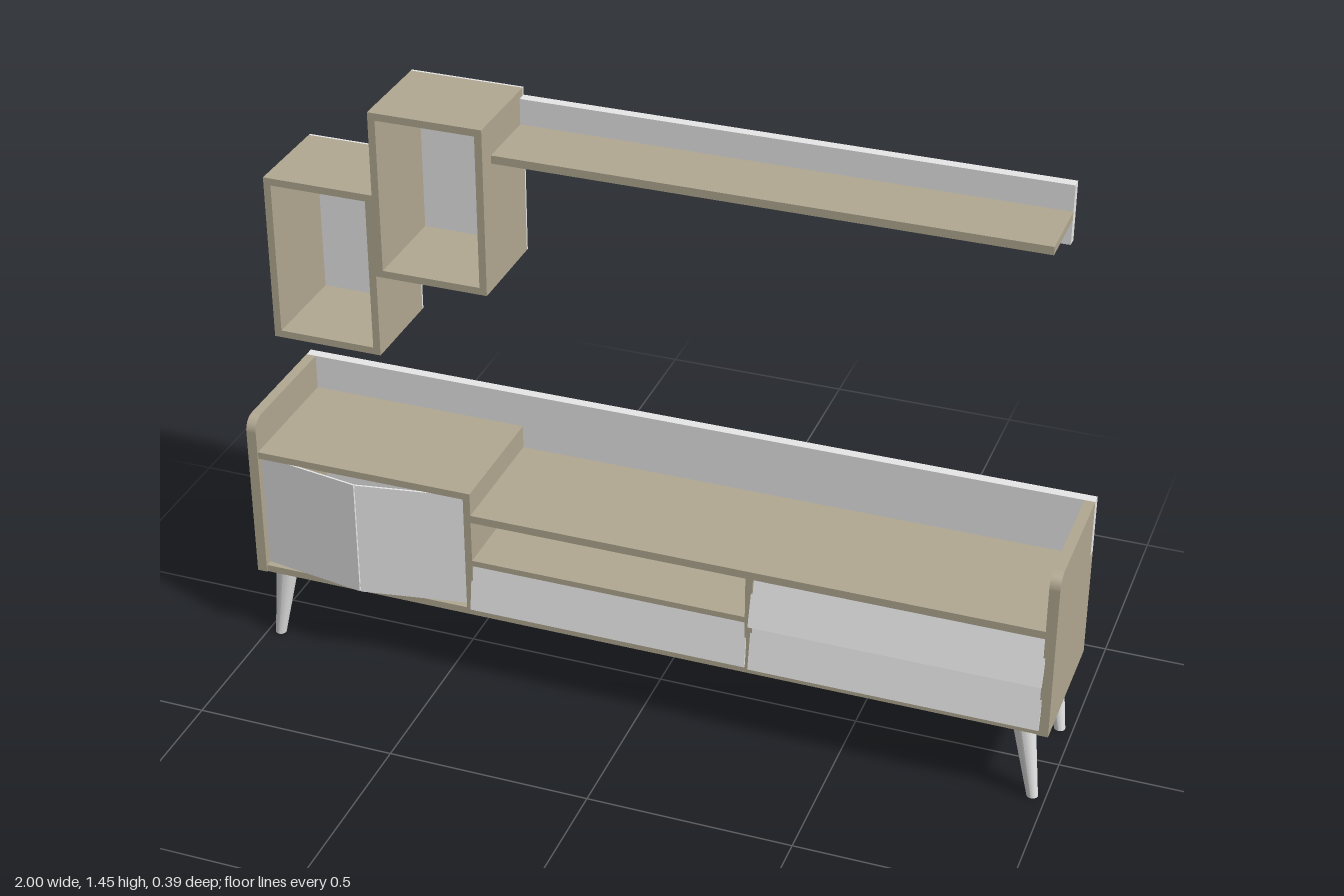
import * as THREE from 'three';

const wood = new THREE.MeshStandardMaterial({ color: 0xb2a892 });
wood.name = 'taupe wood';
const white = new THREE.MeshStandardMaterial({ color: 0xf2f2f2 });
white.name = 'white lacquer';

const BACK = -0.192, FRONT = 0.168;

// Box given by its limits on each axis
function slab(parent, name, mat, x0, x1, y0, y1, z0, z1) {
  const mesh = new THREE.Mesh(new THREE.BoxGeometry(x1 - x0, y1 - y0, z1 - z0), mat);
  mesh.position.set((x0 + x1) / 2, (y0 + y1) / 2, (z0 + z1) / 2);
  mesh.name = name;
  parent.add(mesh);
  return mesh;
}

// End panel with a rounded front corner and a notch for the rear upstand
function endPanel(parent, name, x0, notchY) {
  const r = 0.035, top = 0.635;
  const s = new THREE.Shape();
  s.moveTo(-FRONT, 0.2);
  s.lineTo(-BACK, 0.2);
  s.lineTo(-BACK, notchY);
  s.lineTo(0.167, notchY);
  s.lineTo(0.167, top);
  s.lineTo(-FRONT + r, top);
  s.absarc(-FRONT + r, top - r, r, Math.PI / 2, Math.PI, false);
  const geo = new THREE.ExtrudeGeometry(s, { depth: 0.025, bevelEnabled: false, curveSegments: 8 });
  geo.rotateY(Math.PI / 2);
  const mesh = new THREE.Mesh(geo, wood);
  mesh.position.x = x0;
  mesh.name = name;
  parent.add(mesh);
}

// Drawer front leaning back: the lower edge stands further out than the upper
function drawer(parent, name, x0, x1, y0, y1, zLow, zHigh) {
  const h = Math.hypot(y1 - y0, zLow - zHigh), t = 0.006;
  const mesh = new THREE.Mesh(new THREE.BoxGeometry(x1 - x0, h, t), white);
  mesh.position.set((x0 + x1) / 2, (y0 + y1) / 2, (zLow + zHigh) / 2 - t / 2);
  mesh.rotation.x = -Math.atan2(zLow - zHigh, y1 - y0);
  mesh.name = name;
  parent.add(mesh);
}

// Door slightly ajar, hinged at its outer edge
function door(parent, name, hingeX, freeX) {
  const zHinge = 0.147, zFree = 0.192, dx = freeX - hingeX, dz = zFree - zHinge;
  const mesh = new THREE.Mesh(new THREE.BoxGeometry(Math.hypot(dx, dz), 0.305, 0.005), white);
  mesh.position.set((hingeX + freeX) / 2, 0.373, (zHinge + zFree) / 2);
  mesh.rotation.y = -Math.atan(dz / dx);
  mesh.name = name;
  parent.add(mesh);
}

// Open wall box with a thin white back
function wallBox(name, x0, x1, y0, y1) {
  const g = new THREE.Group(), t = 0.018, z0 = -0.186, z1 = 0.057;
  g.name = name;
  slab(g, 'boxBottom', wood, x0, x1, y0, y0 + t, z0, z1);
  slab(g, 'boxTop', wood, x0, x1, y1 - t, y1, z0, z1);
  slab(g, 'boxSideRight', wood, x0, x0 + t, y0 + t, y1 - t, z0, z1);
  slab(g, 'boxSideLeft', wood, x1 - t, x1, y0 + t, y1 - t, z0, z1);
  slab(g, 'boxBack', white, x0, x1, y0, y1, BACK, z0);
  return g;
}

export function createModel() {
  const model = new THREE.Group();
  model.name = 'mediaWallUnit';

  // Cabinet carcass
  const cabinet = new THREE.Group();
  cabinet.name = 'lowCabinet';
  endPanel(cabinet, 'endPanelRight', -1, 0.545);
  endPanel(cabinet, 'endPanelLeft', 0.975, 0.485);
  slab(cabinet, 'cabinetBottom', wood, -0.975, 0.975, 0.2, 0.218, BACK, 0.165);
  slab(cabinet, 'raisedTop', wood, -0.975, -0.42, 0.527, 0.545, BACK, 0.165);
  slab(cabinet, 'lowerTop', wood, -0.42, 0.975, 0.465, 0.485, BACK, 0.165);
  slab(cabinet, 'doorDivider', wood, -0.438, -0.42, 0.218, 0.527, BACK, 0.165);
  slab(cabinet, 'drawerDivider', wood, 0.268, 0.286, 0.218, 0.465, BACK, 0.165);
  slab(cabinet, 'middleShelf', wood, -0.42, 0.268, 0.342, 0.357, BACK, 0.165);

  // Rear upstand, stepped above the raised top
  slab(cabinet, 'rearUpstand', white, -0.42, 1, 0.485, 0.635, BACK, -0.167);
  slab(cabinet, 'rearUpstandStep', white, -1, -0.42, 0.545, 0.635, BACK, -0.167);

  // Back infill panels
  [[-0.975, -0.438, 0.218, 0.527], [-0.42, 0.268, 0.218, 0.342],
    [-0.42, 0.268, 0.357, 0.465], [0.286, 0.975, 0.218, 0.465]]
    .forEach(([x0, x1, y0, y1]) => slab(cabinet, 'backInfill', white, x0, x1, y0, y1, -0.19, -0.182));

  // Doors and drawers
  door(cabinet, 'doorRight', -0.977, -0.709);
  door(cabinet, 'doorLeft', -0.438, -0.706);
  drawer(cabinet, 'middleDrawer', -0.424, 0.272, 0.222, 0.345, 0.177, 0.158);
  drawer(cabinet, 'lowerDrawer', 0.282, 0.979, 0.222, 0.344, 0.182, 0.16);
  drawer(cabinet, 'upperDrawer', 0.282, 0.979, 0.345, 0.463, 0.187, 0.155);
  model.add(cabinet);

  // Splayed tapered legs
  for (const side of [-1, 1]) {
    for (const z of [0.133, -0.142]) {
      const geo = new THREE.CylinderGeometry(0.027, 0.0135, 0.2, 24);
      const pos = geo.attributes.position;
      for (let i = 0; i < pos.count; i++) {
        pos.setX(i, pos.getX(i) - side * 0.16 * pos.getY(i)); // shear outward toward the floor
      }
      geo.computeVertexNormals();
      const leg = new THREE.Mesh(geo, white);
      leg.position.set(side * 0.952, 0.1, z);
      leg.name = z > 0 ? 'frontLeg' : 'backLeg';
      model.add(leg);
    }
  }

  // Wall boxes and long shelf
  model.add(wallBox('lowerWallBox', -0.962, -0.685, 0.813, 1.235));
  model.add(wallBox('upperWallBox', -0.685, -0.405, 1.025, 1.445));
  const shelf = new THREE.Group();
  shelf.name = 'wallShelf';
  slab(shelf, 'shelfRail', white, -0.405, 0.895, 1.28, 1.425, BACK, -0.167);
  slab(shelf, 'shelfBoard', wood, -0.405, 0.895, 1.341, 1.361, -0.167, 0.008);
  model.add(shelf);

  return model;
}
